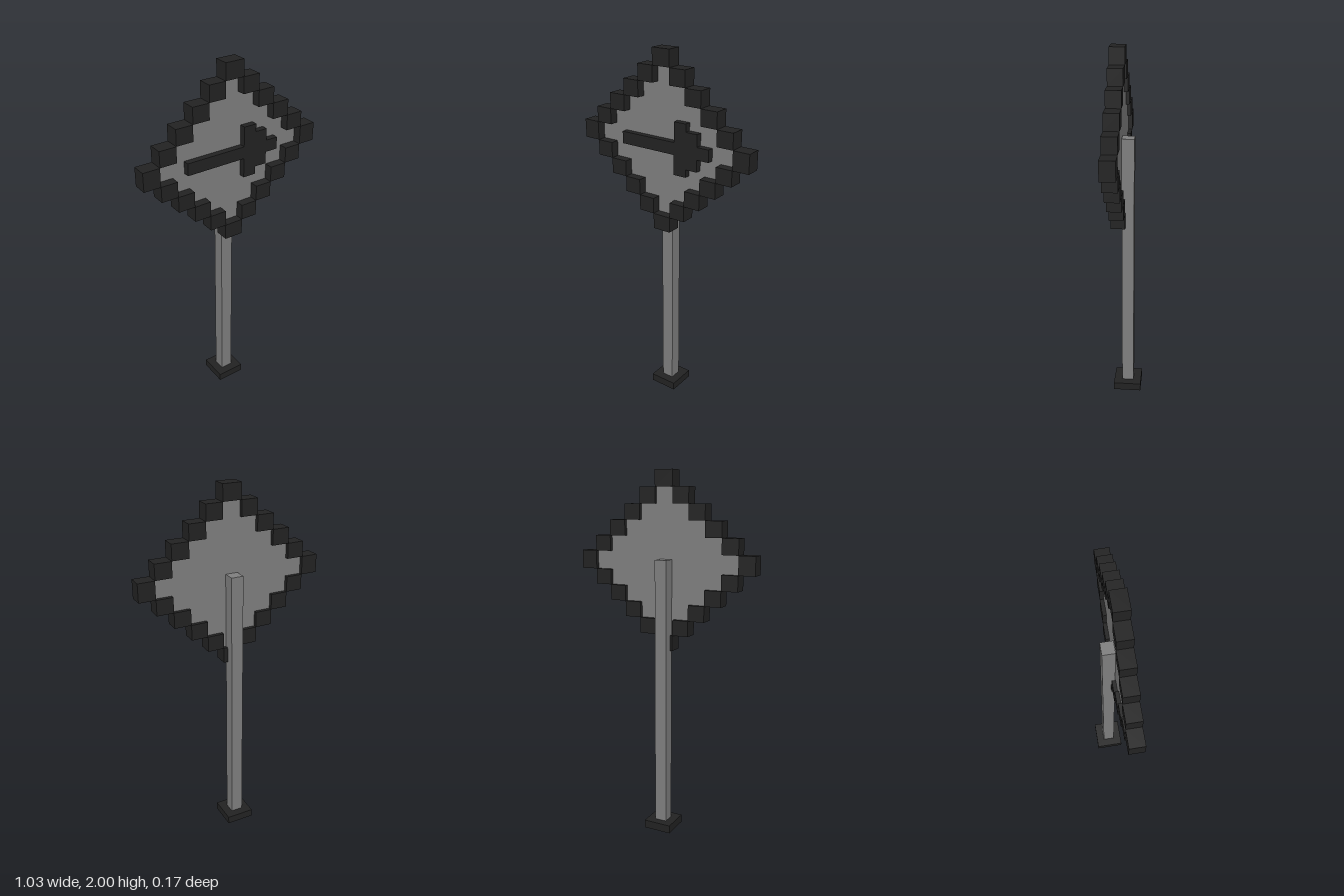
import * as THREE from 'three';

export function createModel() {
  const sign = new THREE.Group();
  sign.name = 'arrowSign';
  const black = new THREE.MeshStandardMaterial({ color: 0x222222 });
  black.name = 'charcoal black';
  const grey = new THREE.MeshStandardMaterial({ color: 0x7e7e7e });
  grey.name = 'steel grey';

  // Box given by its limits on each axis
  function box(name, material, [x0, x1], [y0, y1], [z0, z1], parent = sign) {
    const mesh = new THREE.Mesh(new THREE.BoxGeometry(x1 - x0, y1 - y0, z1 - z0), material);
    mesh.position.set((x0 + x1) / 2, (y0 + y1) / 2, (z0 + z1) / 2);
    mesh.name = name;
    parent.add(mesh);
    return mesh;
  }

  // Flat outline extruded along z
  function extrude(name, material, shape, z, depth) {
    const geometry = new THREE.ExtrudeGeometry(shape, { depth, bevelEnabled: false });
    const mesh = new THREE.Mesh(geometry, material);
    mesh.position.z = z;
    mesh.name = name;
    sign.add(mesh);
    return mesh;
  }

  // Stepped diamond: half-width of each step and the height of each row edge
  const half = [0.0525, 0.1445, 0.238, 0.332, 0.4245, 0.5165];
  const rows = [2, 1.913, 1.827, 1.741, 1.655, 1.57, 1.469, 1.384, 1.298, 1.212, 1.126, 1.04];
  const step = (r) => Math.min(r, 10 - r);

  // Border of blocks, mirrored left and right
  const frame = new THREE.Group();
  frame.name = 'frame';
  sign.add(frame);
  for (let r = 0; r <= 10; r++) {
    const s = step(r), y = [rows[r + 1], rows[r]], z = [0.005, 0.084];
    if (s === 0) {
      box('frameBlock', black, [-half[0], half[0]], y, z, frame);
    } else {
      box('frameBlock', black, [half[s - 1], half[s]], y, z, frame);
      box('frameBlock', black, [-half[s], -half[s - 1]], y, z, frame);
    }
  }

  // Thin panel filling the frame
  const side = [];
  for (let r = 1; r <= 9; r++) {
    const x = half[step(r) - 1];
    side.push(new THREE.Vector2(x, rows[r]), new THREE.Vector2(x, rows[r + 1]));
  }
  const mirrored = side.map((p) => new THREE.Vector2(-p.x, p.y)).reverse();
  extrude('panel', grey, new THREE.Shape([...side, ...mirrored]), 0.026, 0.01);

  // Raised arrow pointing to the model's left
  const upper = [[-0.265, 0.033], [0.07, 0.033], [0.07, 0.14], [0.143, 0.14],
    [0.143, 0.098], [0.21, 0.098], [0.21, 0.033], [0.28, 0.033]];
  const lower = upper.map(([x, y]) => [x, -y]).reverse();
  const arrow = new THREE.Shape([...upper, ...lower].map(([x, y]) => new THREE.Vector2(x, y + 1.508)));
  extrude('arrow', black, arrow, 0.035, 0.035);

  // Post behind the panel
  box('post', grey, [-0.039, 0.029], [0.015, 1.535], [-0.042, 0.025]);

  // Square foot, open around the post
  const square = (path, s) => path.moveTo(-s, -s).lineTo(s, -s).lineTo(s, s).lineTo(-s, s).closePath();
  const footShape = square(new THREE.Shape(), 0.079);
  footShape.holes.push(square(new THREE.Path(), 0.034));
  const foot = extrude('foot', black, footShape, 0, 0.045);
  foot.rotation.x = -Math.PI / 2;
  foot.position.set(-0.005, 0, -0.008);

  return sign;
}
